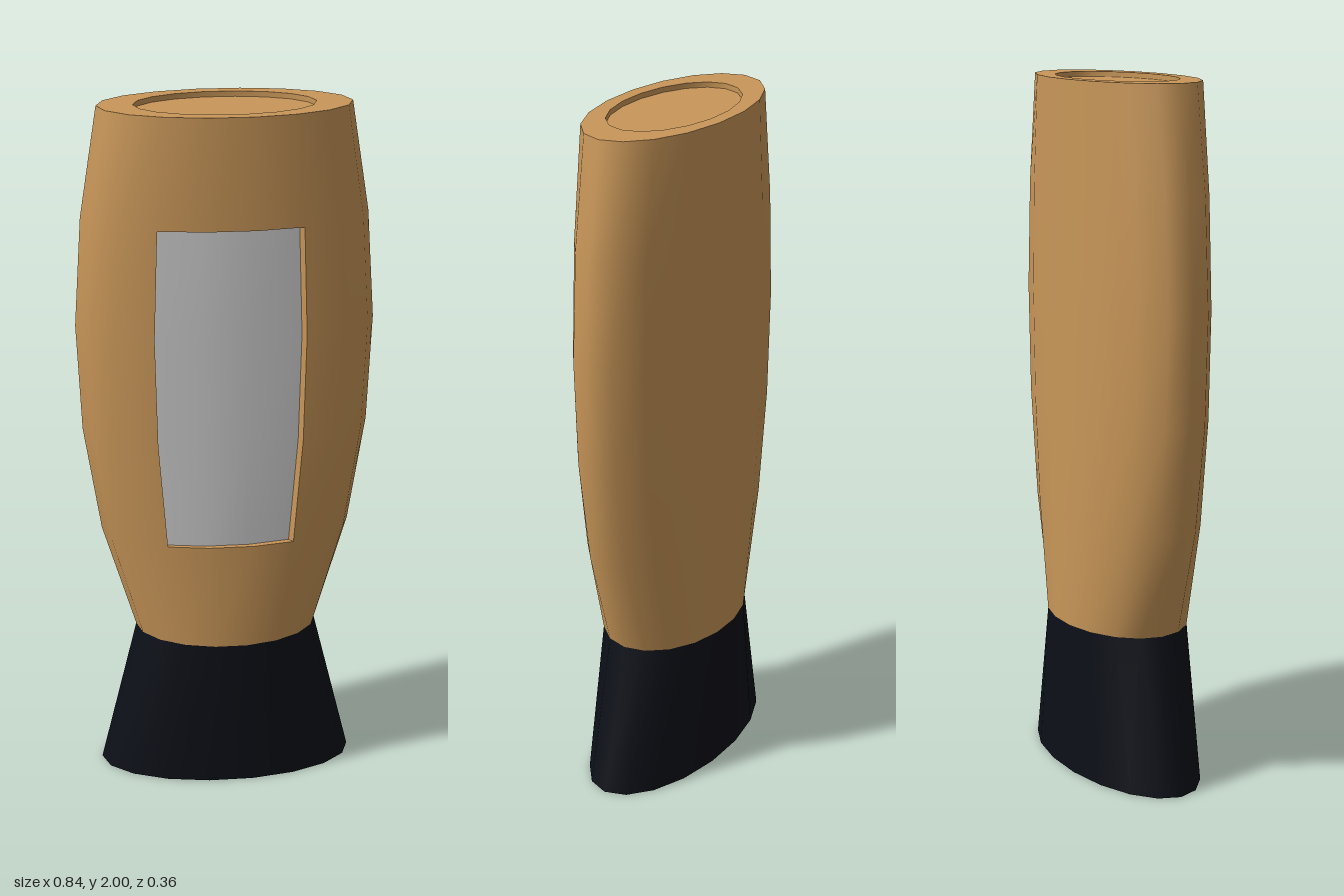
import * as THREE from 'three';

const SIDES = 18;
const DEPTH = 0.182;

// One oval cross-section, counted from +x towards +z
const ring = (w, d, y) => Array.from({ length: SIDES }, (_, i) => {
  const a = (i / SIDES) * Math.PI * 2;
  return new THREE.Vector3(w * Math.cos(a), y, d * Math.sin(a));
});

// Skin over rows of points; normals are smoothed before skipped cells are left out
function loft(rows, closed = true, skip = () => false) {
  const n = rows[0].length;
  const all = [], kept = [];
  for (let r = 0; r < rows.length - 1; r++) {
    for (let c = 0; c < (closed ? n : n - 1); c++) {
      const a = r * n + c, b = r * n + ((c + 1) % n);
      const cell = [a, a + n, b, b, a + n, b + n];
      all.push(...cell);
      if (!skip(r, c)) kept.push(...cell);
    }
  }
  const geo = new THREE.BufferGeometry().setFromPoints(rows.flat());
  geo.setIndex(all);
  geo.computeVertexNormals();
  geo.setIndex(kept);
  return geo;
}

export function createModel() {
  const model = new THREE.Group();
  const wood = new THREE.MeshStandardMaterial({ color: 0xc89658, side: THREE.DoubleSide });
  const black = new THREE.MeshStandardMaterial({ color: 0x0c0f17, side: THREE.DoubleSide });
  const grey = new THREE.MeshStandardMaterial({ color: 0xcccccc, side: THREE.DoubleSide });

  const add = (name, geo, mat) => {
    const mesh = new THREE.Mesh(geo, mat);
    mesh.name = name;
    model.add(mesh);
  };

  // Bulging body with a window left open in the front
  const profile = [[0.265, 0.445], [0.36, 0.76], [0.408, 1.07], [0.421, 1.38], [0.4, 1.69], [0.35, 2]];
  const rows = profile.map(([w, y]) => ring(w, DEPTH, y));
  const inWindow = (r, c) => r >= 1 && r <= 3 && c >= 3 && c <= 5;
  add('body', loft(rows, true, inWindow), wood);

  // Sunken front panel
  const sink = new THREE.Vector3(-0.012, 0, -0.016);
  const rim = rows.slice(1, 5).map((row) => row.slice(3, 7));
  const panel = rim.map((row) => row.map((p) => p.clone().add(sink)));
  add('panel', loft(panel, false), grey);

  // Walls around the panel
  const border = (g) => [
    g[0], g.map((row) => row[3]), [...g[3]].reverse(), g.map((row) => row[0]).reverse(),
  ];
  const outer = border(rim), inner = border(panel);
  outer.forEach((edge, i) => add('panelWall' + (i + 1), loft([edge, inner[i]], false), wood));

  // Flat ends, each with a shallow oval recess
  const addEnd = (name, w, innerW, innerD, y, floorY, mat) => {
    const steps = [[w, DEPTH, y], [innerW, innerD, y], [innerW, innerD, floorY], [0, 0, floorY]]
      .map((s) => ring(...s));
    if (floorY > y) steps.reverse();
    ['Rim', 'RecessWall', 'RecessFloor'].forEach((part, i) => {
      const k = floorY > y ? 2 - i : i;
      add(name + part, loft([steps[k], steps[k + 1]]), mat);
    });
  };
  addEnd('top', 0.35, 0.25, 0.143, 2, 1.985, wood);

  // Flared black foot
  add('foot', loft([ring(0.375, DEPTH, 0), ring(0.265, DEPTH, 0.445)]), black);
  addEnd('foot', 0.375, 0.355, 0.168, 0, 0.05, black);

  return model;
}
